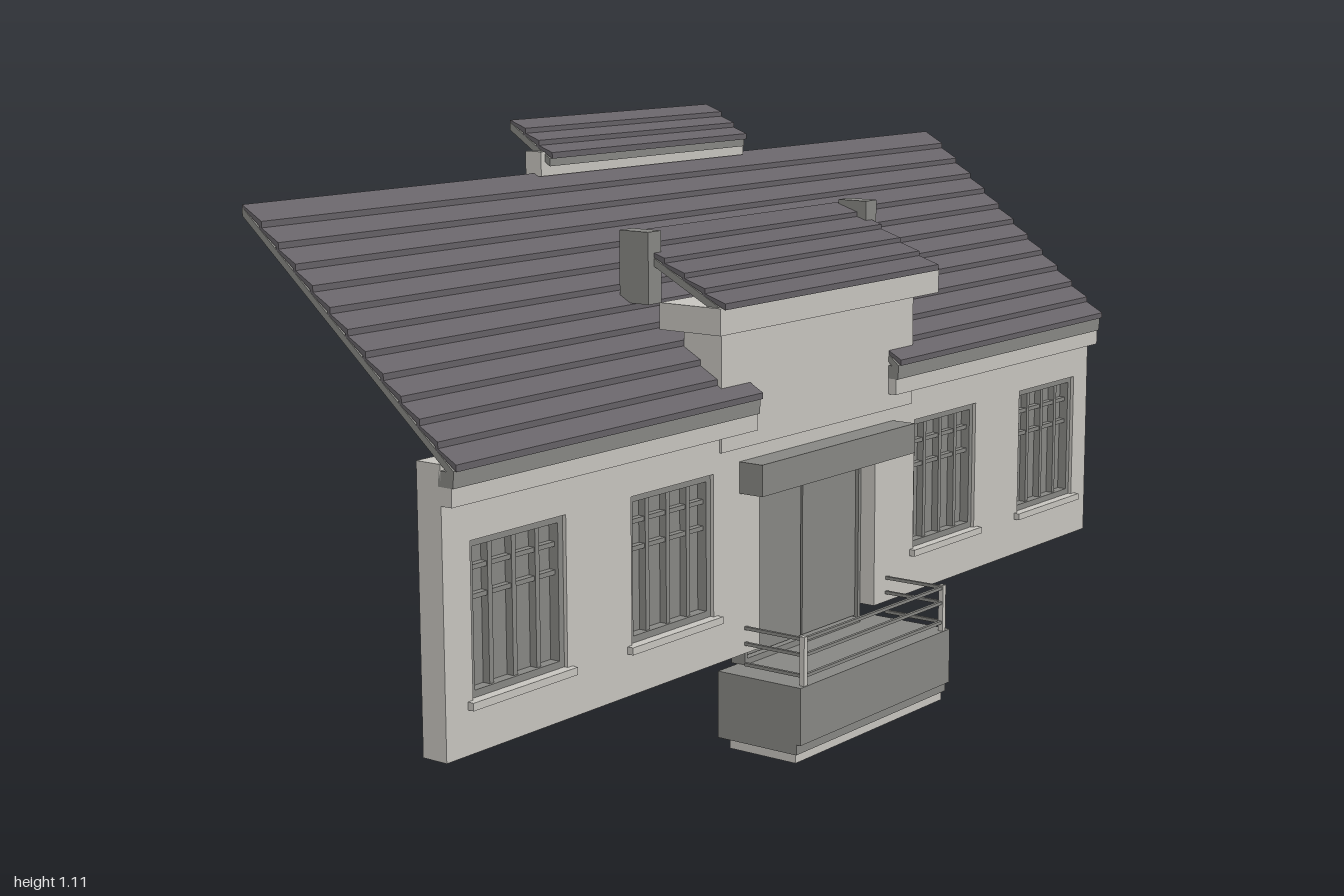
import * as THREE from 'three';

const material = (name, color) => {
  const m = new THREE.MeshStandardMaterial({ color });
  m.name = name;
  return m;
};

export function createModel() {
  const model = new THREE.Group();
  model.name = 'house facade';
  const plaster = material('light plaster', 0xcbc9c3);
  const grey = material('mid grey', 0x8a8a86);
  const tile = material('roof tile', 0x676368);

  const add = (name, geometry, mat, parent = model) => {
    const mesh = new THREE.Mesh(geometry, mat);
    mesh.name = name;
    parent.add(mesh);
    return mesh;
  };
  // Box given by its limits on each axis
  const box = (name, mat, [x0, x1], [y0, y1], [z0, z1], parent) => {
    const g = new THREE.BoxGeometry(x1 - x0, y1 - y0, z1 - z0);
    g.translate((x0 + x1) / 2, (y0 + y1) / 2, (z0 + z1) / 2);
    return add(name, g, mat, parent);
  };
  // Side profile of [z, y] points extruded along x
  const profile = (name, mat, points, [x0, x1], parent) => {
    const shape = new THREE.Shape(points.map(([z, y]) => new THREE.Vector2(z, y)));
    const g = new THREE.ExtrudeGeometry(shape, { depth: x1 - x0, bevelEnabled: false });
    g.translate(0, 0, -x1);
    g.rotateY(-Math.PI / 2);
    return add(name, g, mat, parent);
  };

  // Sloping deck with rows of overlapping tiles; a and b are the lower and upper [z, y]
  const slope = (name, a, b, rows, spans, first, last) => {
    const group = new THREE.Group();
    group.name = name;
    model.add(group);
    const at = (i, lift) => {
      const t = i / rows;
      return [a[0] + (b[0] - a[0]) * t, a[1] + (b[1] - a[1]) * t + lift];
    };
    for (const span of spans) {
      profile('roofDeck', grey, [at(first, 0), at(last, 0), at(last, 0.014), at(first, 0.014)], span, group);
      for (let i = first; i < last; i++) {
        const low = at(i, 0.025);
        low[0] += 0.006;
        const foot = [low[0], low[1] - 0.011];
        profile('tileRow', tile, [foot, at(i + 1, 0.014), at(i + 1, 0.018), low], span, group);
      }
    }
  };

  // Front wall with door notch and four window openings
  const windows = [-0.825, -0.433, 0.433, 0.83];
  const W = 0.113, sillY = 0.265, headY = 0.52;
  const wall = new THREE.Shape([
    [-1, 0.178], [-0.185, 0.178], [-0.185, 0.457], [0.185, 0.457],
    [0.185, 0.178], [1, 0.178], [1, 0.65], [-1, 0.65],
  ].map(([x, y]) => new THREE.Vector2(x, y)));
  for (const x of windows) {
    wall.holes.push(new THREE.Path([
      [x - W, sillY], [x - W, headY], [x + W, headY], [x + W, sillY],
    ].map(([px, py]) => new THREE.Vector2(px, py))));
  }
  const wallGeometry = new THREE.ExtrudeGeometry(wall, { depth: 0.05, bevelEnabled: false });
  wallGeometry.translate(0, 0, 0.125);
  add('frontWall', wallGeometry, plaster);

  // Windows: pane, frame, glazing bars and sill
  for (const x of windows) {
    const g = new THREE.Group();
    g.name = 'window';
    model.add(g);
    box('pane', grey, [x - W, x + W], [sillY, headY], [0.143, 0.149], g);
    for (const s of [-1, 1]) {
      const e = x + s * (W - 0.006);
      box('frameSide', grey, [e - 0.006, e + 0.006], [sillY, headY], [0.149, 0.168], g);
    }
    for (const y of [sillY + 0.006, headY - 0.006]) {
      box('frameRail', grey, [x - W, x + W], [y - 0.006, y + 0.006], [0.149, 0.168], g);
    }
    for (const k of [-1, 0, 1]) {
      box('glazingBar', grey, [x + k * 0.056 - 0.005, x + k * 0.056 + 0.005], [sillY, headY], [0.149, 0.163], g);
    }
    for (const y of [0.425, 0.472]) {
      box('crossBar', grey, [x - W, x + W], [y - 0.004, y + 0.004], [0.149, 0.161], g);
    }
    box('sill', plaster, [x - W - 0.012, x + W + 0.012], [0.252, sillY], [0.15, 0.187], g);
  }

  // Double door with frame
  box('doorBack', grey, [-0.185, 0.185], [0.14, 0.457], [0.112, 0.128]);
  for (const s of [-1, 1]) {
    const c = s * 0.09;
    box('doorLeaf', grey, [c - 0.087, c + 0.087], [0.155, 0.447], [0.128, 0.136]);
    const e = s * 0.181;
    box('doorJamb', grey, [e - 0.004, e + 0.004], [0.14, 0.457], [0.128, 0.143]);
  }
  box('doorHead', grey, [-0.185, 0.185], [0.449, 0.457], [0.128, 0.143]);
  box('doorThreshold', grey, [-0.185, 0.185], [0.14, 0.152], [0.128, 0.143]);
  box('doorCanopy', grey, [-0.245, 0.245], [0.473, 0.53], [0.17, 0.225]);

  // Balcony with stepped underside
  box('balconyBase', plaster, [-0.24, 0.24], [0, 0.018], [0.15, 0.295]);
  profile('balcony', grey, [
    [0.127, 0.017], [0.3, 0.017], [0.3, 0.036], [0.309, 0.036], [0.309, 0.141], [0.127, 0.141],
  ], [-0.245, 0.245]);

  // Balcony railing
  for (const s of [-1, 1]) {
    const x = s * 0.227;
    box('railPost', plaster, [x - 0.005, x + 0.005], [0.141, 0.23], [0.297, 0.307]);
  }
  for (const y of [0.158, 0.196, 0.225]) {
    for (const x of [-0.227, 0.227]) {
      box('sideRail', grey, [x - 0.003, x + 0.003], [y - 0.003, y + 0.003], [0.175, 0.3]);
    }
    box('frontRail', grey, [-0.227, 0.227], [y - 0.003, y + 0.003], [0.299, 0.305]);
  }

  // Eaves either side of the raised centre
  for (const span of [[-1, -0.22], [0.22, 1]]) {
    box('cornice', plaster, span, [0.585, 0.615], [0.17, 0.197]);
    box('eaveBoard', grey, span, [0.615, 0.64], [0.17, 0.201]);
  }

  // Main roof, its lowest row interrupted by the raised centre
  const low = [0.202, 0.628], high = [-0.242, 1.0];
  slope('mainRoof', low, high, 12, [[-1, 1]], 1, 12);
  slope('mainRoofEave', low, high, 12, [[-1, -0.22], [0.22, 1]], 0, 1);

  // Raised centre with its own roof
  box('centreWall', plaster, [-0.303, 0.303], [0.555, 0.77], [0.098, 0.18]);
  box('centreCornice', plaster, [-0.345, 0.345], [0.768, 0.815], [0.078, 0.21]);
  slope('centreRoof', [0.208, 0.798], [-0.01, 0.912], 5, [[-0.337, 0.337]], 0, 5);
  for (const s of [-1, 1]) {
    const x = s * 0.335;
    box('sidePier', grey, [x - 0.018, x + 0.018], [0.81, 0.936], [-0.004, 0.06]);
  }

  // Ridge box and cap roof
  box('ridgeBox', plaster, [-0.303, 0.303], [1.013, 1.057], [-0.262, -0.225]);
  slope('ridgeRoof', [-0.214, 1.031], [-0.308, 1.092], 3, [[-0.292, 0.292]], 0, 3);

  return model;
}
